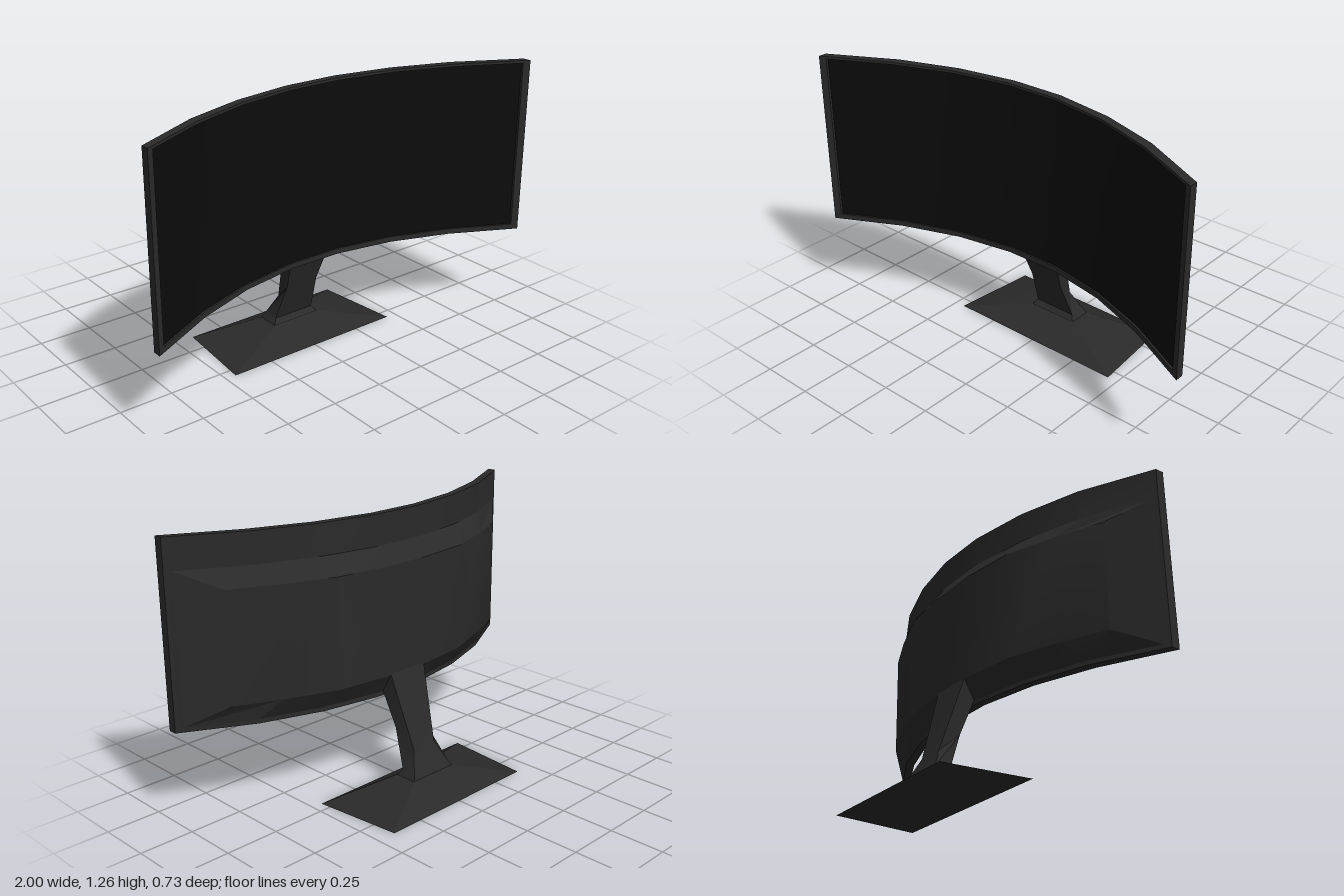
import * as THREE from 'three';
import { toCreasedNormals } from 'three/addons/utils/BufferGeometryUtils.js';

const bodyMat = new THREE.MeshStandardMaterial({ color: 0x2a2a2a });
const screenMat = new THREE.MeshStandardMaterial({ color: 0x0c0c0c });

// Skin a list of equal-length rings, optionally closing the first and last one.
function loft(rings, capStart, capEnd) {
  const n = rings[0].length;
  const index = [];
  const quad = (a, b, c, d) => index.push(a, b, c, a, c, d);
  for (let r = 0; r < rings.length - 1; r++) {
    for (let i = 0; i < n; i++) {
      const j = (i + 1) % n;
      quad(r * n + i, r * n + j, (r + 1) * n + j, (r + 1) * n + i);
    }
  }
  const last = (rings.length - 1) * n;
  for (let i = 0; i < n / 2 - 1; i++) {
    const a = i, b = i + 1, c = n - 2 - i, d = n - 1 - i;
    if (capStart) quad(d, c, b, a);
    if (capEnd) quad(last + a, last + b, last + c, last + d);
  }
  const geo = new THREE.BufferGeometry();
  geo.setAttribute('position', new THREE.Float32BufferAttribute(rings.flat(2), 3));
  geo.setIndex(index);
  return toCreasedNormals(geo, 0.42);
}

// Curved rectangle: half of the columns (x, z) is mirrored to the other side.
function panelRing(xs, zs, y0, y1) {
  const half = xs.map((x, i) => [x, zs[i]]);
  const cols = [...half.map(([x, z]) => [-x, z]).reverse(), ...half];
  return [
    ...cols.map(([x, z]) => [x, y0, z]),
    ...cols.reverse().map(([x, z]) => [x, y1, z]),
  ];
}

// Four-cornered section of the stand; front and back edges as [halfWidth, y, z].
function standRing([fw, fy, fz], [bw, by, bz]) {
  return [[-fw, fy, fz], [fw, fy, fz], [bw, by, bz], [-bw, by, bz]];
}

export function createModel() {
  const group = new THREE.Group();
  const add = (name, geometry, material) => {
    const mesh = new THREE.Mesh(geometry, material);
    mesh.name = name;
    group.add(mesh);
  };

  // Housing: rear bulge, chamfer, rim, front bezel and the step down to the screen
  const outer = [0.13, 0.41, 0.69, 1];
  const inner = [0.13, 0.41, 0.69, 0.97];
  const screenRing = panelRing(inner, [0.042, 0.092, 0.19, 0.335], 0.455, 1.248);
  add('housing', loft([
    panelRing([0.13, 0.38, 0.62, 0.82], [-0.04, -0.01, 0.08, 0.17], 0.54, 1.04),
    panelRing(inner, [0.012, 0.06, 0.155, 0.305], 0.45, 1.12),
    panelRing(outer, [0.012, 0.06, 0.155, 0.32], 0.43, 1.26),
    panelRing(outer, [0.05, 0.1, 0.2, 0.36], 0.43, 1.26),
    panelRing(inner, [0.05, 0.1, 0.2, 0.345], 0.455, 1.248),
    screenRing,
  ], true, false), bodyMat);
  add('screen', loft([screenRing], false, true), screenMat);

  // Leaning neck: flared bottom, narrow waist, top sunk into the housing
  add('neck', loft([
    standRing([0.125, 0.078, -0.095], [0.125, 0.078, -0.205]),
    standRing([0.105, 0.105, -0.115], [0.11, 0.105, -0.192]),
    standRing([0.085, 0.285, -0.05], [0.066, 0.2, -0.145]),
    standRing([0.105, 0.45, 0.01], [0.105, 0.545, -0.04]),
  ], true, true), bodyMat);

  // Low pyramid foot
  add('foot', loft([
    standRing([0.45, 0, 0.05], [0.41, 0, -0.365]),
    standRing([0.125, 0.08, -0.095], [0.125, 0.08, -0.205]),
  ], true, true), bodyMat);

  return group;
}
